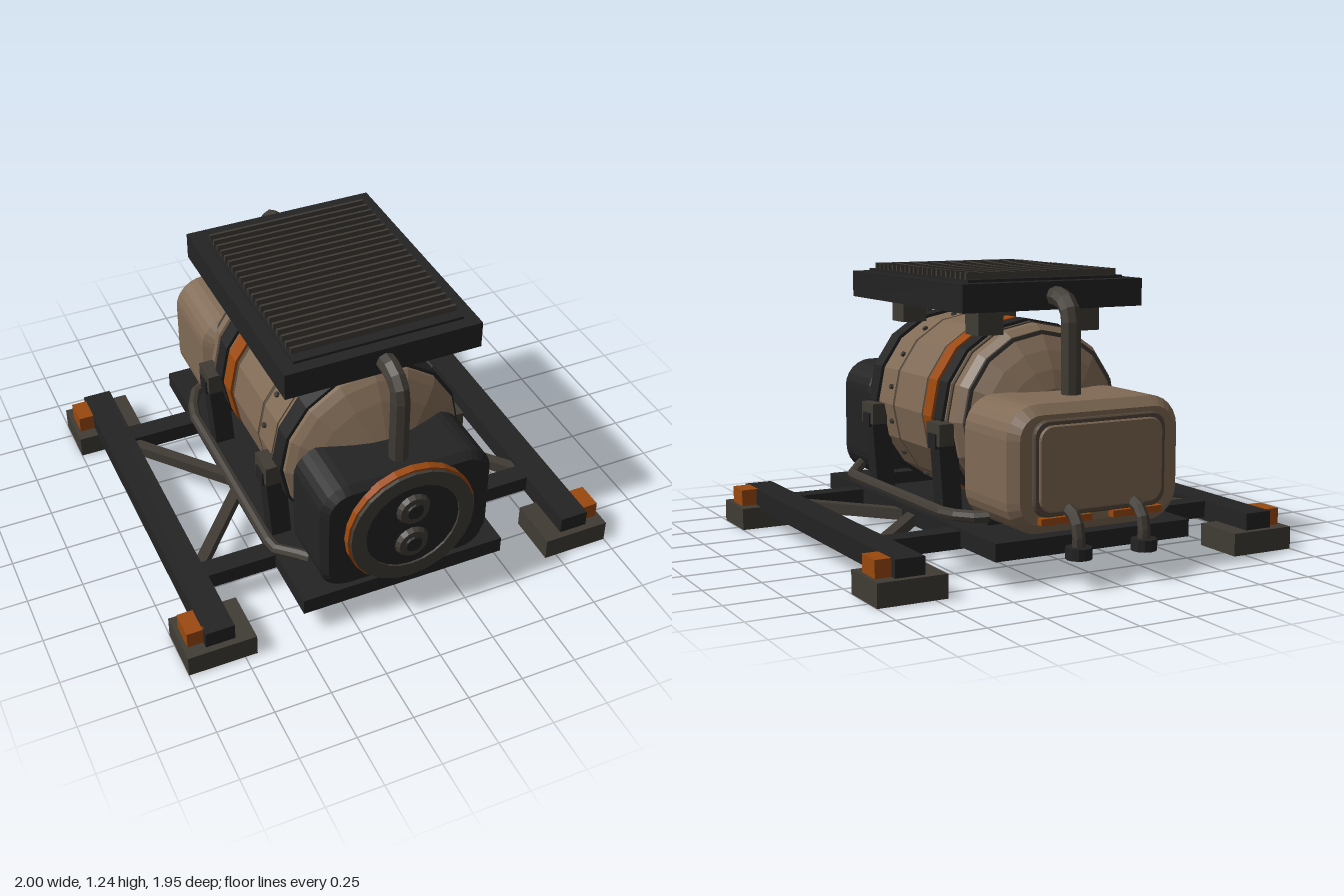
import * as THREE from 'three';

const mat = (name, color) => {
  const m = new THREE.MeshStandardMaterial({ color });
  m.name = name;
  return m;
};

// Straight-segment path whose tangents are mitred at the corners
class Polyline extends THREE.Curve {
  constructor(pts) {
    super();
    this.pts = pts.map(p => new THREE.Vector3(...p));
  }
  getPointAt(t) {
    return this.pts[Math.round(t * (this.pts.length - 1))].clone();
  }
  getTangentAt(t) {
    const n = this.pts.length - 1, i = Math.round(t * n), sum = new THREE.Vector3();
    for (const k of [i - 1, i]) {
      if (k >= 0 && k < n) sum.add(this.pts[k + 1].clone().sub(this.pts[k]).normalize());
    }
    return sum.normalize();
  }
}

export function createModel() {
  const model = new THREE.Group();
  const tan = mat('tan paint', 0x806a55);
  const dark = mat('dark frame', 0x232323);
  const grey = mat('warm grey metal', 0x403b34);
  const orange = mat('burnt orange', 0x9a480e);
  const seam = mat('brown seam', 0x54483b);

  // Faceted mesh
  const add = (name, geo, material) => {
    const g = geo.index ? geo.toNonIndexed() : geo;
    g.computeVertexNormals();
    const mesh = new THREE.Mesh(g, material);
    mesh.name = name;
    model.add(mesh);
    return mesh;
  };
  // Box from its limits
  const box = (name, [x0, x1], [y0, y1], [z0, z1], material) =>
    add(name, new THREE.BoxGeometry(x1 - x0, y1 - y0, z1 - z0)
      .translate((x0 + x1) / 2, (y0 + y1) / 2, (z0 + z1) / 2), material);
  const mirrorX = (s, [a, b]) => (s > 0 ? [a, b] : [-b, -a]);
  const pipe = (name, pts, r, material = grey) =>
    add(name, new THREE.TubeGeometry(new Polyline(pts), pts.length - 1, r, 8), material);
  // Disc or drum along z, from z0 to z1
  const drum = (name, r, y, z0, z1, material, sides = 16, r1 = r) =>
    add(name, new THREE.CylinderGeometry(r1, r, z1 - z0, sides)
      .rotateX(Math.PI / 2).translate(0, y, (z0 + z1) / 2), material);
  // Casing with rounded corners and chamfered front and back edges
  const casing = (name, w, y0, y1, z0, z1, r, bevel, material) => {
    const a = w - bevel, b = (y1 - y0) / 2 - bevel, s = new THREE.Shape();
    s.absarc(a - r, b - r, r, 0, Math.PI / 2);
    s.absarc(r - a, b - r, r, Math.PI / 2, Math.PI);
    s.absarc(r - a, r - b, r, Math.PI, Math.PI * 1.5);
    s.absarc(a - r, r - b, r, Math.PI * 1.5, Math.PI * 2);
    const g = new THREE.ExtrudeGeometry(s, {
      depth: z1 - z0 - 2 * bevel, curveSegments: 3,
      bevelSize: bevel, bevelThickness: bevel, bevelSegments: 1,
    });
    return add(name, g.translate(0, (y0 + y1) / 2, z0 + bevel), material);
  };

  // Base frame
  box('basePlate', [-0.47, 0.47], [0.11, 0.185], [-0.8, 0.9], dark);
  for (const [z0, z1] of [[0.5, 0.59], [-0.495, -0.4]]) {
    box('crossBeam', [-0.8, 0.8], [0.1, 0.175], [z0, z1], dark);
    box('tankSaddle', [-0.34, 0.34], [0.18, 0.24], [z0, z1], dark);
  }
  for (const s of [1, -1]) {
    box('sideRail', mirrorX(s, [0.78, 0.91]), [0.085, 0.175], [-0.8, 0.9], dark);
    for (const [z0, z1] of [[0.685, 0.93], [-0.83, -0.585]]) {
      box('footPad', mirrorX(s, [0.695, 1]), [0, 0.1], [z0, z1], grey);
      box('railMarker', mirrorX(s, [0.9, 0.98]), [0.1, 0.175], [z0 + 0.063, z1 - 0.06], orange);
    }
    // Diagonal braces
    for (const d of [1, -1]) {
      const from = new THREE.Vector3(s * 0.43, 0.135, 0.045 + d * 0.02);
      const to = new THREE.Vector3(s * 0.8, 0.135, 0.045 + d * 0.46);
      const brace = add('diagonalBrace', new THREE.BoxGeometry(0.05, 0.05, from.distanceTo(to)), grey);
      brace.position.copy(from).lerp(to, 0.5);
      brace.lookAt(to);
    }
  }

  // Tank with domed ends, built as a lathe about z
  const TANK_Y = 0.6;
  const profile = [[0, -0.49], [0.14, -0.475], [0.22, -0.447], [0.3, -0.405], [0.375, -0.35], [0.405, -0.31],
    [0.405, 0.555], [0.375, 0.582], [0.3, 0.625], [0.21, 0.662], [0.14, 0.69], [0, 0.705]];
  add('tank', new THREE.LatheGeometry(profile.map(p => new THREE.Vector2(...p)), 16)
    .rotateX(Math.PI / 2).translate(0, TANK_Y, 0), tan);

  // Raised shell sections, bands and seams
  drum('shellSection', 0.412, TANK_Y, 0.285, 0.42, tan);
  drum('shellSection', 0.412, TANK_Y, -0.015, 0.265, tan);
  drum('seamRing', 0.409, TANK_Y, 0.262, 0.288, seam);
  drum('seamRing', 0.409, TANK_Y, -0.04, -0.012, seam);
  drum('seamRing', 0.411, TANK_Y, -0.265, -0.245, seam);
  drum('seamRing', 0.408, TANK_Y, -0.36, -0.345, grey, 16, 0.408).scale.set(0.93, 1, 1);
  model.children.at(-1).scale.set(0.93, 0.93, 1);
  model.children.at(-1).position.y = TANK_Y * 0.07;
  drum('darkBand', 0.42, TANK_Y, 0.45, 0.535, dark);
  drum('darkBand', 0.42, TANK_Y, -0.225, -0.15, dark);
  drum('orangeBand', 0.419, TANK_Y, -0.125, -0.045, orange);

  // Rivets, one on each facet
  for (let i = 0; i < 16; i++) {
    const a = (i + 0.5) * Math.PI / 8, r = 0.408;
    const rivet = add('rivet', new THREE.CylinderGeometry(0.012, 0.014, 0.016, 6)
      .rotateZ(-Math.PI / 2), grey);
    rivet.position.set(Math.cos(a) * r, TANK_Y + Math.sin(a) * r, 0.32);
    rivet.rotation.z = a;
  }

  // Side clamps and conduits
  for (const s of [1, -1]) {
    for (const z of [0.44, -0.245]) {
      const post = box('clampPost', mirrorX(s, [0.35, 0.44]), [0.18, 0.57], [z - 0.043, z + 0.043], dark);
      const p = post.geometry.attributes.position;
      for (let i = 0; i < p.count; i++) if (p.getY(i) > 0.4) p.setX(i, p.getX(i) + s * 0.028);
      post.geometry.computeVertexNormals();
      box('clampBuckle', mirrorX(s, [0.4, 0.47]), [0.5, 0.595], [z - 0.062, z + 0.062], grey);
      box('buckleLatch', mirrorX(s, [0.45, 0.478]), [0.485, 0.55], [z - 0.035, z + 0.035], dark);
    }
    pipe('sideConduit', [[s * 0.37, 0.255, 0.74], [s * 0.4, 0.25, 0.7], [s * 0.475, 0.232, 0.61],
      [s * 0.485, 0.232, 0.55], [s * 0.485, 0.232, -0.36], [s * 0.465, 0.235, -0.45],
      [s * 0.42, 0.24, -0.54], [s * 0.37, 0.245, -0.57]], 0.026);
  }

  // Front housing with round face and two lenses
  casing('frontHousing', 0.39, 0.195, 0.745, 0.58, 0.91, 0.1, 0.03, dark);
  const FACE_Y = 0.487;
  drum('faceOrangeRim', 0.293, FACE_Y, 0.905, 0.942, orange, 24);
  const ring = new THREE.Shape().absarc(0, 0, 0.283, 0, Math.PI * 2);
  ring.holes.push(new THREE.Path().absarc(0, 0, 0.215, 0, Math.PI * 2));
  add('faceRing', new THREE.ExtrudeGeometry(ring, { depth: 0.03, bevelEnabled: false, curveSegments: 12 })
    .translate(0, FACE_Y, 0.928), grey);
  drum('facePlate', 0.218, FACE_Y, 0.93, 0.948, dark, 20);
  for (const y of [0.577, 0.395]) {
    drum('lensRing', 0.082, y, 0.94, 0.968, grey, 16, 0.065);
    drum('lens', 0.046, y, 0.96, 0.975, dark, 12, 0.035);
  }

  // Rear housing with access panel
  casing('rearHousing', 0.41, 0.2, 0.73, -0.82, -0.385, 0.1, 0.04, tan);
  casing('panelFrame', 0.315, 0.275, 0.67, -0.84, -0.81, 0.06, 0.006, seam);
  casing('accessPanel', 0.295, 0.295, 0.65, -0.85, -0.81, 0.055, 0.006, tan);
  for (const s of [1, -1]) {
    box('rearStripe', mirrorX(s, [0.05, 0.29]), [0.248, 0.276], [-0.855, -0.815], orange);
    // Drain pipes
    const x = s * 0.157;
    pipe('drainPipe', [[x, 0.3, -0.8], [x, 0.3, -0.845], [x, 0.285, -0.885], [x, 0.25, -0.912],
      [x, 0.2, -0.922], [x, 0.14, -0.922]], 0.027);
    add('drainCap', new THREE.CylinderGeometry(0.055, 0.055, 0.048, 12)
      .translate(x, 0.139, -0.922), dark);
  }

  // Roof radiator on four mounts
  box('radiatorTray', [-0.44, 0.44], [1.075, 1.195], [-0.465, 0.655], dark);
  box('radiatorBed', [-0.38, 0.38], [1.19, 1.207], [-0.4, 0.6], dark);
  for (let i = 0; i < 21; i++) {
    const z = 0.545 - i * 0.045;
    box('radiatorFin', [-0.37, 0.37], [1.2, 1.235], [z - 0.006, z + 0.006], grey);
  }
  for (const s of [1, -1]) {
    for (const [z0, z1] of [[0.4, 0.52], [-0.34, -0.22]]) {
      box('radiatorMount', mirrorX(s, [0.18, 0.3]), [0.965, 1.08], [z0, z1], grey);
    }
  }

  // Arched pipes from radiator to housings
  for (const [s, edge, z] of [[1, 0.63, 0.796], [-1, -0.44, -0.597]]) {
    pipe('coolantPipe', [[0, 1.132, edge], [0, 1.132, z - s * 0.095], [0, 1.115, z - s * 0.045],
      [0, 1.08, z - s * 0.012], [0, 1.03, z], [0, 0.7, z]], 0.043);
  }
  return model;
}
